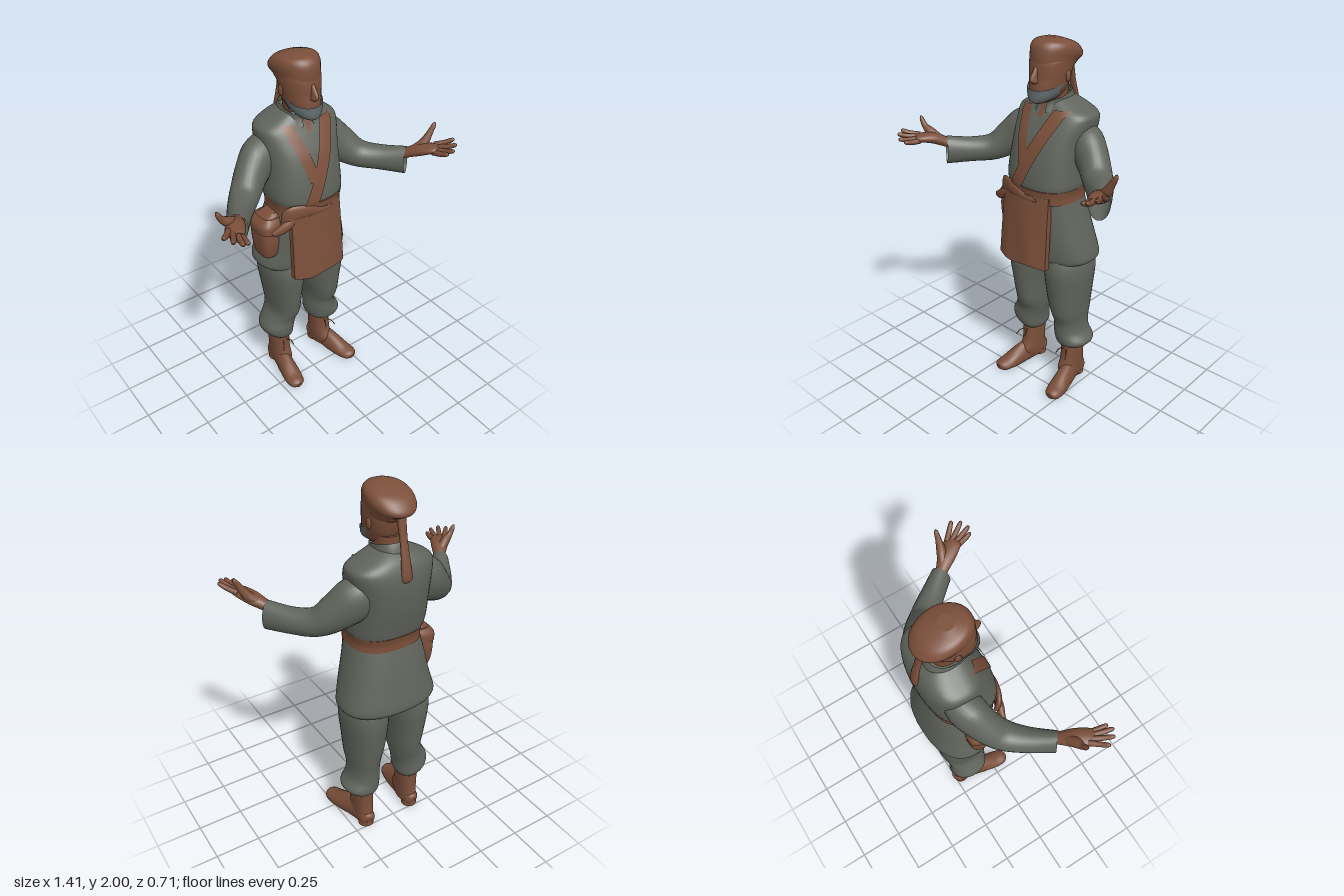
import * as THREE from 'three';

const cloth = new THREE.MeshStandardMaterial({ color: 0x60645b, side: THREE.DoubleSide });
cloth.name = 'grey cloth';
const brown = new THREE.MeshStandardMaterial({ color: 0x7b4f3a });
brown.name = 'brown skin and leather';
const beardGrey = new THREE.MeshStandardMaterial({ color: 0x606869, side: THREE.DoubleSide });
beardGrey.name = 'beard grey';

// Catmull-Rom value of a table of rows at t in 0..1
function rowAt(rows, t) {
  const f = t * (rows.length - 1), i = Math.min(Math.floor(f), rows.length - 2), u = f - i;
  const r = k => rows[Math.max(0, Math.min(rows.length - 1, k))];
  const [a, b, c, d] = [r(i - 1), r(i), r(i + 1), r(i + 2)];
  return b.map((v, k) => v + 0.5 * u * (c[k] - a[k] + u * (2 * a[k] - 5 * v + 4 * c[k] - d[k]
    + u * (3 * (v - c[k]) + d[k] - a[k]))));
}
const resample = (rows, per = 4) => {
  const n = (rows.length - 1) * per;
  return Array.from({ length: n + 1 }, (_, i) => rowAt(rows, i / n));
};

// Surface through rings of points; closed rings get end caps
function skin(rings, closed = true, caps = closed) {
  const pos = [], idx = [], n = rings[0].length;
  rings.forEach(r => r.forEach(p => pos.push(p.x, p.y, p.z)));
  for (let j = 0; j < rings.length - 1; j++)
    for (let i = 0; i < (closed ? n : n - 1); i++) {
      const a = j * n + i, b = j * n + (i + 1) % n;
      idx.push(a, a + n, b + n, a, b + n, b);
    }
  if (caps) [rings[0], rings[rings.length - 1]].forEach((r, top) => {
    const s = pos.length / 3, c = new THREE.Vector3();
    r.forEach(p => { c.addScaledVector(p, 1 / n); pos.push(p.x, p.y, p.z); });
    pos.push(c.x, c.y, c.z);
    for (let i = 0; i < n; i++) {
      const a = s + i, b = s + (i + 1) % n;
      idx.push(s + n, top ? b : a, top ? a : b);
    }
  });
  const g = new THREE.BufferGeometry();
  g.setAttribute('position', new THREE.Float32BufferAttribute(pos, 3));
  g.setIndex(idx);
  g.computeVertexNormals();
  return g;
}

// Upright form, bottom to top. Row: [y, xMin, xMax, zFront, zBack, tilt]
function stack(rows, { n = 2.3, seg = 32, from = 0, to = 2 * Math.PI } = {}) {
  const closed = to - from > 6.28;
  const pw = v => Math.sign(v) * Math.abs(v) ** (2 / n);
  const rings = resample(rows).map(([y, x0, x1, zf, zb, tilt = 0]) =>
    Array.from({ length: closed ? seg : seg + 1 }, (_, i) => {
      const a = from + (to - from) * i / seg, c = pw(Math.cos(a)), s = pw(Math.sin(a));
      return new THREE.Vector3((x0 + x1) / 2 + c * (x1 - x0) / 2, y + tilt * s, (zf + zb) / 2 + s * (zf - zb) / 2);
    }));
  return skin(rings, closed);
}

// Form along a path. Row: [x, y, z, side radius, upward radius]
function limb(rows, { seg = 16, caps = true, floor = -1, mirror = 1 } = {}) {
  const pts = resample(rows.map(([x, ...r]) => [x * mirror, ...r]));
  const v = p => new THREE.Vector3(p[0], p[1], p[2]);
  const rings = pts.map((p, j) => {
    const t = v(pts[Math.min(j + 1, pts.length - 1)]).sub(v(pts[Math.max(j - 1, 0)])).normalize();
    const side = t.clone().cross(new THREE.Vector3(0, 1, 0)).normalize(), up = side.clone().cross(t);
    return Array.from({ length: seg }, (_, i) => {
      const a = 2 * Math.PI * i / seg;
      const q = v(p).addScaledVector(side, Math.cos(a) * p[3]).addScaledVector(up, Math.sin(a) * p[4]);
      q.y = Math.max(q.y, floor);
      return q;
    });
  });
  return skin(rings, true, caps);
}

const TORSO = [
  [1.22, -0.18, 0.2, 0.05, -0.285], [1.26, -0.2, 0.213, 0.06, -0.298], [1.32, -0.205, 0.215, 0.055, -0.312],
  [1.4, -0.2, 0.215, 0.04, -0.327], [1.5, -0.2, 0.222, 0.01, -0.337], [1.58, -0.206, 0.24, -0.03, -0.335],
  [1.63, -0.2, 0.235, -0.06, -0.322], [1.668, -0.135, 0.158, -0.08, -0.3], [1.7, -0.07, 0.085, -0.1, -0.26]];
const TORSO_N = 2.6;

// Depth of the chest surface at a given x and y
function chestZ(x, y) {
  let lo = 0, hi = 1;
  for (let k = 0; k < 24; k++) { const m = (lo + hi) / 2; if (rowAt(TORSO, m)[0] < y) lo = m; else hi = m; }
  const [, x0, x1, zf, zb] = rowAt(TORSO, lo);
  const c = Math.min(1, Math.abs((x - (x0 + x1) / 2) / ((x1 - x0) / 2)));
  return (zf + zb) / 2 + (zf - zb) / 2 * (1 - c ** TORSO_N) ** (1 / TORSO_N);
}

// Flat strap lying on the chest, from low to high
function strap([xa, ya], [xb, yb], width, lift) {
  const rings = Array.from({ length: 25 }, (_, j) => Array.from({ length: 7 }, (_, i) => {
    const x = xa + (xb - xa) * j / 24 + width * (0.5 - i / 6), y = ya + (yb - ya) * j / 24;
    return new THREE.Vector3(x, y, chestZ(x, y) + lift);
  }));
  return skin(rings, false);
}

export function createModel() {
  const model = new THREE.Group();
  model.name = 'robedMan';
  const add = (name, geo, mat) => {
    const m = new THREE.Mesh(geo, mat);
    m.name = name;
    model.add(m);
    return m;
  };

  // Tunic, belt and straps
  add('tunicTop', stack(TORSO, { n: TORSO_N, seg: 48 }), cloth);
  add('tunicSkirt', stack([
    [0.82, -0.255, 0.28, 0.012, -0.345], [0.85, -0.262, 0.287, 0.022, -0.352], [0.95, -0.235, 0.262, 0.035, -0.335],
    [1.08, -0.21, 0.228, 0.045, -0.31], [1.2, -0.18, 0.2, 0.05, -0.28]], { n: 2.35, seg: 48 }), cloth);
  add('belt', stack([
    [1.175, -0.188, 0.206, 0.06, -0.29], [1.21, -0.187, 0.204, 0.062, -0.29],
    [1.25, -0.194, 0.212, 0.066, -0.299]], { n: 2.5, seg: 48 }), brown);
  add('shortStrap', strap([-0.02, 1.37], [-0.1, 1.653], 0.065, 0.006), brown);
  add('longStrap', strap([-0.06, 1.24], [0.128, 1.655], 0.082, 0.009), brown);

  // Apron, leaning outward toward the hem, with soft folds
  const apron = new THREE.BoxGeometry(0.33, 0.4, 0.03, 20, 16, 1);
  const p = apron.attributes.position;
  for (let i = 0; i < p.count; i++) {
    const x = p.getX(i), y = p.getY(i), drop = 0.5 - y / 0.4, fold = Math.sin(x * 38 + y * 6);
    p.setXYZ(i, x * (0.94 + 0.06 * drop) - 0.01, y + 1.015 + 0.006 * Math.sin(x * 25) * drop,
      p.getZ(i) + 0.052 + 0.038 * drop - 1.2 * x * x + 0.003 * drop * fold);
  }
  apron.computeVertexNormals();
  add('apron', apron, brown);
  add('apronRoll', limb([[-0.19, 1.16, 0.0, 0.014, 0.018], [-0.165, 1.215, 0.028, 0.016, 0.045],
    [-0.08, 1.22, 0.056, 0.013, 0.034], [0.0, 1.2, 0.06, 0.012, 0.02], [0.08, 1.195, 0.056, 0.006, 0.008]]), brown);
  add('apronKnot', limb([[-0.262, 1.115, 0.0, 0.008, 0.014], [-0.22, 1.13, 0.012, 0.018, 0.026],
    [-0.175, 1.16, 0.024, 0.022, 0.028], [-0.13, 1.2, 0.035, 0.012, 0.02]]), brown);

  // Hip bag
  add('bag', stack([
    [0.915, -0.255, -0.2, -0.07, -0.15], [0.935, -0.278, -0.185, -0.045, -0.18], [1.02, -0.288, -0.18, -0.03, -0.2],
    [1.11, -0.288, -0.17, -0.035, -0.2], [1.15, -0.275, -0.16, -0.045, -0.185], [1.185, -0.215, -0.16, -0.07, -0.16]], { n: 3 }), brown);
  add('bagFlap', stack([
    [1.085, -0.294, -0.17, -0.025, -0.206], [1.13, -0.292, -0.165, -0.03, -0.206],
    [1.165, -0.262, -0.16, -0.05, -0.185]], { n: 3 }), brown);

  // Trouser legs, bunched at the cuffs
  add('rightTrouser', stack([
    [0.24, -0.18, -0.07, -0.1, -0.25], [0.265, -0.21, -0.06, -0.075, -0.272], [0.3, -0.242, -0.058, -0.06, -0.28],
    [0.345, -0.25, -0.053, -0.055, -0.276], [0.4, -0.222, -0.04, -0.052, -0.277], [0.47, -0.195, -0.03, -0.025, -0.29],
    [0.6, -0.21, -0.02, -0.005, -0.308], [0.78, -0.23, 0.003, 0.012, -0.322], [0.92, -0.19, 0.0, -0.03, -0.28]], { n: 2.15 }), cloth);
  add('leftTrouser', stack([
    [0.245, 0.11, 0.22, -0.1, -0.25], [0.262, 0.085, 0.265, -0.07, -0.275], [0.295, 0.073, 0.283, -0.056, -0.28],
    [0.345, 0.07, 0.248, -0.055, -0.275], [0.41, 0.073, 0.238, -0.052, -0.278], [0.48, 0.066, 0.243, -0.025, -0.29],
    [0.6, 0.042, 0.252, -0.005, -0.308], [0.78, 0.025, 0.26, 0.012, -0.322], [0.92, 0.02, 0.21, -0.03, -0.28]], { n: 2.15 }), cloth);

  // Boots, turned slightly outward, with loose laces
  [['right', -1, 0.136, 0.18], ['left', 1, 0.165, 0.228]].forEach(([side, s, x, toe]) => {
    const shaft = (y, r, zf, zb) => [y, s * x - r, s * x + r, zf, zb];
    add(side + 'BootShaft', stack([shaft(0.02, 0.044, -0.1, -0.25), shaft(0.08, 0.05, -0.065, -0.253),
      shaft(0.15, 0.051, -0.09, -0.248), shaft(0.27, 0.054, -0.1, -0.25)]), brown);
    const at = t => x + (toe - x) * t;
    add(side + 'BootFoot', limb([
      [at(0), 0.04, -0.258, 0.022, 0.03], [at(0), 0.045, -0.235, 0.042, 0.055], [at(0.15), 0.05, -0.15, 0.043, 0.085],
      [at(0.5), 0.035, -0.05, 0.05, 0.07], [at(0.8), 0.025, 0.03, 0.053, 0.042],
      [at(0.97), 0.025, 0.08, 0.043, 0.03], [at(1.02), 0.022, 0.1, 0.018, 0.016]], { floor: 0, mirror: s }), brown);
    const heel = add(side + 'BootHeel', new THREE.CylinderGeometry(0.043, 0.045, 0.03, 20), brown);
    heel.position.set(s * x, 0.015, -0.212);
    [[0.03, 0.2], [-0.02, 0.215]].forEach(([dx, y], k) => {
      const c = new THREE.CatmullRomCurve3([[x + dx * 0.4, 0.22, -0.1], [x + dx, y + 0.01, -0.075], [x + dx * 1.4, y - 0.015, -0.055]]
        .map(([a, b, d]) => new THREE.Vector3(s * a, b, d)));
      add(side + 'Lace' + k, new THREE.TubeGeometry(c, 8, 0.003, 6), brown);
    });
  });

  // Arms with open sleeves and raised palms, the left hand a little higher
  [['right', -1, -0.014], ['left', 1, 0.014]].forEach(([side, mirror, lift]) => {
    add(side + 'Sleeve', limb([
      [0.11, 1.55, -0.2, 0.08, 0.06], [0.195, 1.478, -0.188, 0.093, 0.11], [0.28, 1.407, -0.15, 0.084, 0.098],
      [0.362, 1.344, -0.088, 0.077, 0.074], [0.445, 1.332, 0.002, 0.064, 0.069], [0.53, 1.337, 0.115, 0.052, 0.079]],
    { seg: 28, caps: false, mirror }), cloth);
    add(side + 'Hand', limb([
      [0.43, 1.335, -0.01, 0.025, 0.025], [0.48, 1.354, 0.06, 0.028, 0.026], [0.528, 1.385, 0.12, 0.032, 0.027],
      [0.57, 1.413, 0.175, 0.046, 0.03], [0.608, 1.427 + lift / 2, 0.235, 0.046, 0.022],
      [0.62, 1.43 + lift / 2, 0.26, 0.036, 0.012]], { mirror }), brown);
    [['Index', [0.63, 1.434, 0.215], [0.7, 1.468, 0.288]], ['Middle', [0.62, 1.43, 0.235], [0.675, 1.462, 0.332]],
      ['Ring', [0.605, 1.424, 0.245], [0.638, 1.447, 0.355]], ['Little', [0.588, 1.418, 0.25], [0.606, 1.434, 0.345]]].forEach(([name, a, b]) => {
      a[1] += lift / 2;
      b[1] += lift;
      const mid = a.map((v, k) => (v + b[k]) / 2 - (k === 1 ? 0.004 : 0));
      const near = a.map((v, k) => v * 0.1 + b[k] * 0.9);
      add(side + name, limb([[...a, 0.015, 0.016], [...mid, 0.014, 0.014], [...near, 0.011, 0.011], [...b, 0.004, 0.004]],
        { seg: 10, mirror }), brown);
    });
    add(side + 'Thumb', limb([[0.555, 1.405, 0.145, 0.025, 0.024], [0.6, 1.437, 0.165, 0.026, 0.026],
      [0.636, 1.48 + lift, 0.172, 0.016, 0.017], [0.656, 1.515 + lift, 0.174, 0.012, 0.012],
      [0.662, 1.531 + lift, 0.174, 0.004, 0.004]], { seg: 12, mirror }), brown);
  });

  // Neck, open collar and bare throat
  add('neck', stack([[1.6, -0.05, 0.07, -0.06, -0.22], [1.67, -0.05, 0.07, -0.075, -0.23], [1.76, -0.055, 0.075, -0.09, -0.235]]), brown);
  add('throat', strap([0.01, 1.61], [0.012, 1.675], 0.028, 0.005), brown);
  add('collar', stack([[1.645, -0.085, 0.105, -0.05, -0.285, -0.01], [1.69, -0.075, 0.093, -0.065, -0.268, -0.02],
    [1.715, -0.068, 0.088, -0.065, -0.255, -0.022]], { from: Math.PI / 2 + 0.25, to: Math.PI * 2.5 - 0.25 }), cloth);

  // Head
  add('head', stack([
    [1.69, -0.03, 0.05, -0.02, -0.13], [1.72, -0.06, 0.08, -0.005, -0.19], [1.765, -0.077, 0.097, -0.003, -0.225],
    [1.81, -0.085, 0.105, -0.01, -0.24], [1.85, -0.09, 0.11, -0.012, -0.247], [1.9, -0.09, 0.11, -0.02, -0.25],
    [1.94, -0.07, 0.09, -0.05, -0.23]], { n: 2.15 }), brown);
  add('nose', stack([[1.785, 0.002, 0.018, 0.0, -0.05], [1.797, -0.01, 0.03, 0.02, -0.05], [1.815, -0.006, 0.026, 0.026, -0.05],
    [1.845, -0.004, 0.024, 0.006, -0.05], [1.87, -0.002, 0.022, -0.013, -0.05]], { n: 2, seg: 14 }), brown);
  [-1, 1].forEach(s => {
    const ear = add(s < 0 ? 'rightEar' : 'leftEar', new THREE.SphereGeometry(1, 14, 10), brown);
    ear.scale.set(0.01, 0.03, 0.018);
    ear.position.set(0.01 + s * 0.096, 1.815, -0.15);
  });
  add('beard', stack([
    [1.686, -0.012, 0.032, -0.015, -0.115, -0.004], [1.705, -0.048, 0.068, 0.006, -0.168, -0.011],
    [1.738, -0.073, 0.093, 0.009, -0.205, -0.02], [1.785, -0.084, 0.104, 0.004, -0.23, -0.03]],
  { n: 2.15, from: -0.08, to: Math.PI + 0.08 }), beardGrey);

  // Soft cap sagging backward, with a hanging tail
  add('cap', stack([
    [1.862, -0.089, 0.109, -0.016, -0.25, 0.024], [1.895, -0.094, 0.114, -0.017, -0.285, 0.03],
    [1.923, -0.102, 0.122, -0.025, -0.316, 0.04], [1.95, -0.1, 0.121, -0.045, -0.308, 0.036],
    [1.976, -0.08, 0.103, -0.07, -0.265, 0.018], [1.996, -0.03, 0.05, -0.11, -0.18, 0.004]], { n: 2.15 }), brown);
  add('capTail', stack([
    [1.565, -0.006, 0.03, -0.32, -0.338], [1.585, -0.018, 0.04, -0.317, -0.346], [1.66, -0.014, 0.036, -0.307, -0.335],
    [1.76, -0.01, 0.03, -0.285, -0.31], [1.87, -0.014, 0.034, -0.255, -0.29]], { seg: 14 }), brown);

  return model;
}
